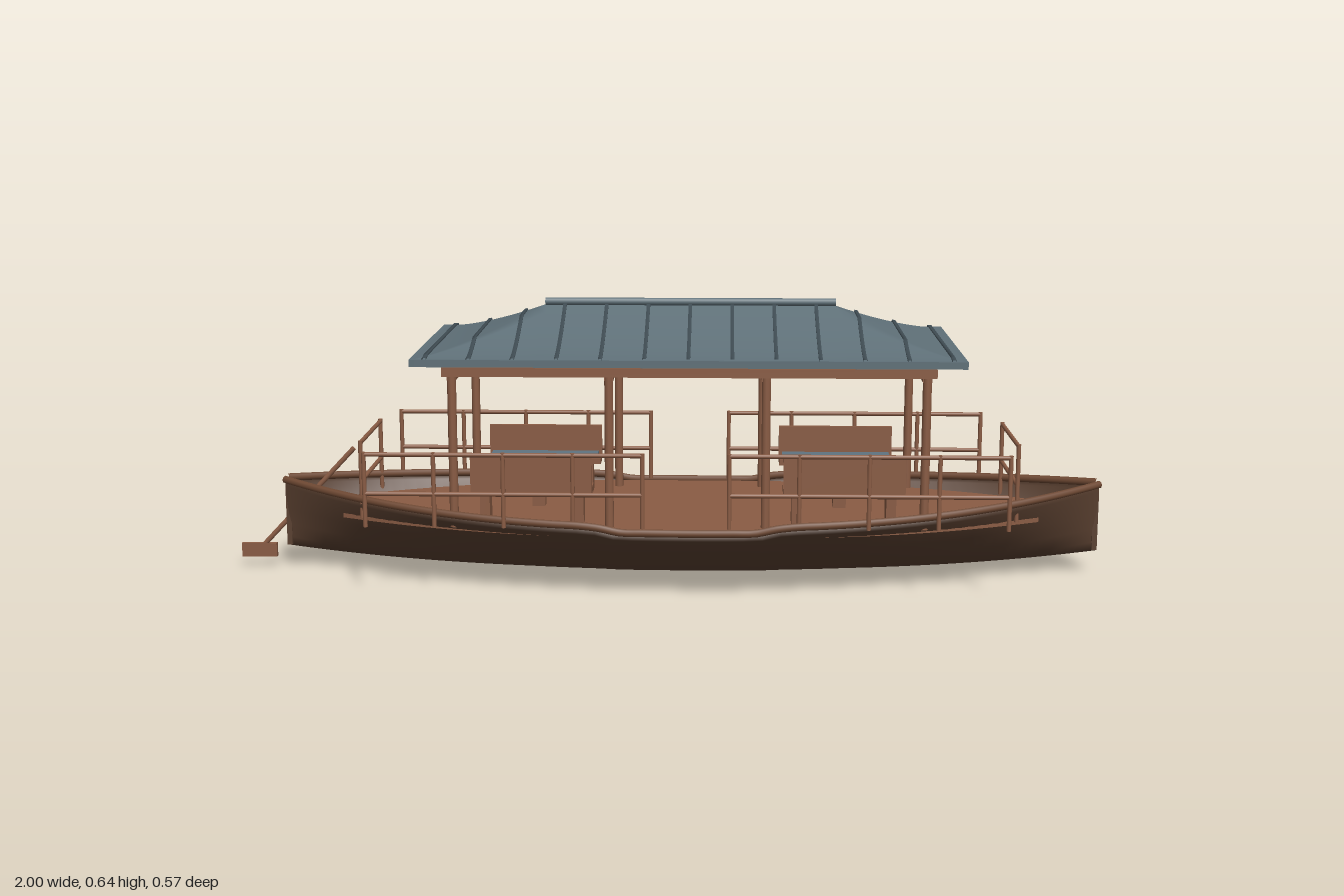
import * as THREE from 'three';

const material = (name, color, side = THREE.FrontSide) => {
  const m = new THREE.MeshStandardMaterial({ color, side });
  m.name = name;
  return m;
};

const MID = 0.05, HALF = 0.94;
const smooth = THREE.MathUtils.smoothstep;

// Hull lines as functions of x
const along = x => Math.min(1, Math.abs(x - MID) / HALF);
const beam = x => 0.012 + 0.27 * (1 - along(x) ** 2.6);
const keel = x => 0.052 * along(x) ** 2.5;
const sheer = x => 0.15 + 0.045 * along(x) ** 2 + 0.012 * smooth(Math.abs(x - MID), 0.15, 0.22);

// Surface through a list of equally long cross-sections
function loft(sections) {
  const n = sections[0].length, index = [];
  for (let i = 0; i < sections.length - 1; i++)
    for (let j = 0; j < n - 1; j++) {
      const a = i * n + j, b = a + n;
      index.push(a, a + 1, b, b, a + 1, b + 1);
    }
  const g = new THREE.BufferGeometry();
  g.setAttribute('position', new THREE.Float32BufferAttribute(sections.flat(2), 3));
  g.setIndex(index);
  g.computeVertexNormals();
  return g;
}

// Roof: a swept curve across z, cut off by a hip curve at both ends
const ROOF = { x0: -0.553, x1: 0.65, z: 0.27, eave: 0.534, rise: 0.088 };
const hipHeight = x => {
  const t = Math.min(1, Math.min(x - ROOF.x0, ROOF.x1 - x) / 0.275);
  return Math.max(0, t) ** 1.4;
};
function roofSection(x, lift = 0) {
  const h = hipHeight(x), half = [];
  const inner = 1 - h ** (1 / 1.4);
  for (let i = 0; i <= 8; i++) {
    const w = 1 - (1 - inner) * i / 8;
    half.push([x, ROOF.eave + lift + ROOF.rise * (1 - w) ** 1.4, ROOF.z * w]);
  }
  return [...half, ...half.slice().reverse().map(([a, y, z]) => [a, y, -z])];
}

export function createModel() {
  const boat = new THREE.Group();
  boat.name = 'coveredBoat';
  const hullWood = material('darkHullWood', 0x5a4030, THREE.DoubleSide);
  const rimWood = material('rimWood', 0x6e4832);
  const wood = material('brownWood', 0x8a5c44);
  const slate = material('slateRoof', 0x5f7078, THREE.DoubleSide);
  const seam = material('roofSeam', 0x414e55, THREE.DoubleSide);
  const fabric = material('cushionFabric', 0x5f7480);

  const add = (name, geometry, mat, parent = boat) => {
    const m = new THREE.Mesh(geometry, mat);
    m.name = name;
    parent.add(m);
    return m;
  };
  const box = (name, mat, w, h, d, x, y, z, parent) => {
    const m = add(name, new THREE.BoxGeometry(w, h, d), mat, parent);
    m.position.set(x, y, z);
    return m;
  };
  const rod = (name, mat, a, b, r, parent) => {
    const p = new THREE.Vector3(...a), q = new THREE.Vector3(...b);
    const m = add(name, new THREE.CylinderGeometry(r, r, p.distanceTo(q), 10), mat, parent);
    m.position.copy(p).add(q).multiplyScalar(0.5);
    m.quaternion.setFromUnitVectors(new THREE.Vector3(0, 1, 0), q.sub(p).normalize());
    return m;
  };

  // Hull shell
  const profile = [[0.97, 1], [1, 0.92], [0.74, 0.58], [0.54, 0.35], [0.32, 0.14], [0, 0]];
  const full = [...profile, ...profile.slice(0, -1).reverse().map(([z, y]) => [-z, y])];
  const stations = [];
  for (let i = 0; i <= 72; i++) {
    const x = MID - HALF * Math.cos(Math.PI * i / 72);
    stations.push(full.map(([z, y]) => [x, keel(x) + (sheer(x) - keel(x)) * y, z * beam(x)]));
  }
  add('hull', loft(stations), hullWood);
  for (const s of [-1, 1])
    box(s < 0 ? 'sternPost' : 'stemPost', hullWood, 0.012, 0.14, 0.022, MID + s * (HALF - 0.005), 0.125, 0);

  // Rim along each side
  for (const s of [-1, 1]) {
    const pts = [];
    for (let i = 0; i <= 60; i++) {
      const x = MID - HALF * Math.cos(Math.PI * i / 60);
      pts.push(new THREE.Vector3(x, sheer(x) + 0.004, s * beam(x) * 0.975));
    }
    add('gunwale', new THREE.TubeGeometry(new THREE.CatmullRomCurve3(pts), 120, 0.009, 8), rimWood);
  }

  // Flat deck following the hull outline
  const outline = [];
  for (let i = 0; i <= 40; i++) {
    const x = -0.74 + 1.58 * i / 40;
    outline.push([x, beam(x) * (0.96 - 0.13 * along(x) ** 2)]);
  }
  const deckShape = new THREE.Shape([...outline, ...outline.slice().reverse().map(([x, z]) => [x, -z])]
    .map(p => new THREE.Vector2(...p)));
  const deck = add('deck', new THREE.ExtrudeGeometry(deckShape, { depth: 0.01, bevelEnabled: false }), wood);
  deck.rotation.x = -Math.PI / 2;
  deck.position.y = 0.142;

  // Roof frame
  const postX = [-0.47, -0.125, 0.22, 0.57];
  for (const z of [-0.205, 0.205]) {
    for (const x of postX) rod('roofPost', wood, [x, 0.15, z], [x, 0.52, z], 0.01);
    box('longBeam', wood, 1.08, 0.02, 0.034, 0.05, 0.5, z);
  }
  for (const x of postX) box('crossBeam', wood, 0.02, 0.022, 0.42, x, 0.491, 0);

  // Roof covering, eaves, seams and ridge
  const roof = new THREE.Group();
  roof.name = 'roof';
  boat.add(roof);
  const columns = [];
  for (let i = 0; i <= 12; i++) columns.push(ROOF.x0 + 0.275 * i / 12);
  for (let i = 12; i >= 0; i--) columns.push(ROOF.x1 - 0.275 * i / 12);
  add('roofCovering', loft(columns.map(x => roofSection(x))), slate, roof);
  const length = ROOF.x1 - ROOF.x0, middle = (ROOF.x0 + ROOF.x1) / 2;
  for (const s of [-1, 1]) {
    box('sideEave', slate, length, 0.016, 0.012, middle, 0.527, s * (ROOF.z - 0.006), roof);
    box('endEave', slate, 0.012, 0.016, 2 * ROOF.z, middle + s * (length / 2 - 0.006), 0.527, 0, roof);
  }
  for (let i = 0; i < 13; i++) {
    const x = -0.52 + 0.095 * i, w = 0.004;
    add('roofSeam', loft([roofSection(x - w), roofSection(x - w, 0.005),
      roofSection(x + w, 0.005), roofSection(x + w)]), seam, roof);
  }
  rod('ridgePole', slate, [-0.28, 0.628, 0], [0.38, 0.628, 0], 0.009, roof);

  // Side railings
  const top = 0.323, low = 0.235, r = 0.005;
  for (const z of [-0.255, 0.255])
    for (const x0 of [-0.66, 0.14]) {
      const rail = new THREE.Group();
      rail.name = 'sideRailing';
      boat.add(rail);
      for (const y of [top, low]) rod('rail', wood, [x0, y, z], [x0 + 0.61, y, z], r, rail);
      for (let i = 0; i <= 4; i++) {
        const x = x0 + 0.61 * i / 4;
        rod('railPost', wood, [x, 0.16, z], [x, top + r, z], r, rail);
      }
    }

  // Railings across the bow and stern
  for (const x of [-0.69, 0.785]) {
    const rail = new THREE.Group();
    rail.name = 'endRailing';
    boat.add(rail);
    for (const y of [top, low]) rod('rail', wood, [x, y, -0.13], [x, y, 0.13], r, rail);
    for (const z of [-0.13, 0.13]) rod('railPost', wood, [x, 0.15, z], [x, top + r, z], r, rail);
  }

  // Benches with cushions on both sides, a table between each pair
  for (const x of [-0.3, 0.395]) {
    for (const s of [-1, 1]) {
      const bench = new THREE.Group();
      bench.name = 'bench';
      boat.add(bench);
      box('seat', wood, 0.27, 0.014, 0.058, x, 0.228, s * 0.158, bench);
      box('cushion', fabric, 0.255, 0.009, 0.047, x, 0.239, s * 0.157, bench);
      box('backrest', wood, 0.27, 0.08, 0.01, x, 0.265, s * 0.188, bench);
      for (const dx of [-0.105, 0.105]) box('benchLeg', wood, 0.022, 0.075, 0.045, x + dx, 0.187, s * 0.157, bench);
    }
    const table = new THREE.Group();
    table.name = 'table';
    boat.add(table);
    box('tableTop', wood, 0.13, 0.012, 0.09, x, 0.244, 0, table);
    box('tableApron', wood, 0.09, 0.024, 0.066, x, 0.226, 0, table);
    box('tableFoot', wood, 0.03, 0.07, 0.03, x, 0.183, 0, table);
  }

  // Steering oar at the stern
  rod('oarShaft', wood, [-0.955, 0.045, 0], [-0.73, 0.284, 0], 0.006);
  box('oarBlade', wood, 0.082, 0.032, 0.012, -0.959, 0.04, 0);

  return boat;
}
